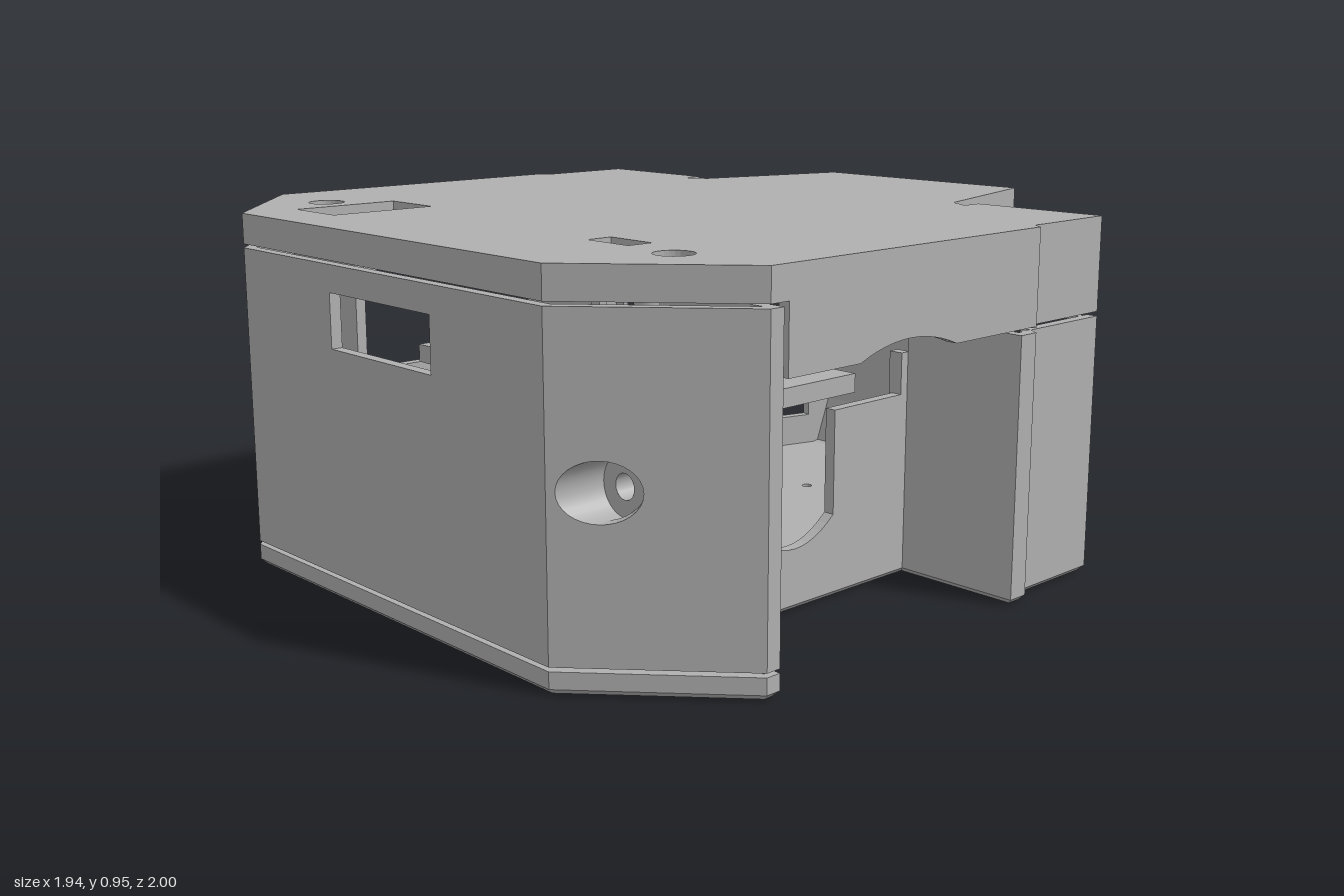
import * as THREE from 'three';
import { RoundedBoxGeometry } from 'three/addons/geometries/RoundedBoxGeometry.js';

const grey = new THREE.MeshStandardMaterial({ color: 0xb0b0b0, side: THREE.DoubleSide });
grey.name = 'grey plastic';

const toPath = (pts, Type = THREE.Shape) => new Type(pts.map(([a, b]) => new THREE.Vector2(a, b)));
const rect = (a0, b0, a1, b1) => [[a0, b0], [a1, b0], [a1, b1], [a0, b1]];
const circle = (x, y, r, n = 24, ry = r) => Array.from({ length: n }, (_, i) => {
  const t = (i / n) * Math.PI * 2;
  return [x + r * Math.cos(t), y + ry * Math.sin(t)];
});
// Right half plan (x, z) mirrored into a closed loop
const mirrorLoop = half => [...half, ...half.map(([x, z]) => [-x, z]).reverse()];

export function createModel() {
  const model = new THREE.Group();
  const groups = {};
  for (const name of ['base', 'lid', 'frontPanel', 'interior']) {
    groups[name] = new THREE.Group();
    groups[name].name = name;
    model.add(groups[name]);
  }
  const add = (group, name, geo) => {
    const m = new THREE.Mesh(geo, grey);
    m.name = name;
    groups[group].add(m);
    return m;
  };

  // Upright wall from plan point p to q; contour is in (distance along, height)
  const wall = (group, name, p, q, contour, holes = [], t = 0.03, inset = 0) => {
    const u = new THREE.Vector3(q[0] - p[0], 0, q[1] - p[1]).normalize();
    const up = new THREE.Vector3(0, 1, 0);
    const n = new THREE.Vector3().crossVectors(u, up);
    const shape = toPath(contour);
    shape.holes = holes.map(h => toPath(h, THREE.Path));
    const geo = new THREE.ExtrudeGeometry(shape, { depth: t, bevelEnabled: false });
    geo.translate(0, 0, -t - inset);
    geo.applyMatrix4(new THREE.Matrix4().makeBasis(u, up, n).setPosition(p[0], 0, p[1]));
    return add(group, name, geo);
  };
  // The same wall on both sides
  const pair = (group, name, p, q, contour, holes = [], t, inset) => {
    const L = Math.hypot(q[0] - p[0], q[1] - p[1]);
    const flip = pts => pts.map(([s, y]) => [L - s, y]);
    wall(group, name + 'Left', p, q, contour, holes, t, inset);
    wall(group, name + 'Right', [-q[0], q[1]], [-p[0], p[1]], flip(contour), holes.map(flip), t, inset);
  };
  const plain = (group, name, p, q, y0, y1) =>
    pair(group, name, p, q, rect(0, y0, Math.hypot(q[0] - p[0], q[1] - p[1]), y1));
  // Horizontal plate with its top at the given height
  const slab = (group, name, pts, holes, top, t, bevel = 0) => {
    const shape = toPath(pts);
    shape.holes = holes.map(h => toPath(h, THREE.Path));
    const geo = new THREE.ExtrudeGeometry(shape, {
      depth: t - 2 * bevel, bevelEnabled: bevel > 0, bevelSize: bevel,
      bevelOffset: -bevel, bevelThickness: bevel, bevelSegments: 1,
    });
    geo.rotateX(Math.PI / 2).translate(0, top - bevel, 0);
    add(group, name, geo);
  };

  // Plan outlines
  const A = [0.62, 1], B = [0.97, 0.68], C = [0.97, -0.26], D = [0.94, -0.28], E = [0.94, -0.57];
  const F = [0.55, -0.57], G = [0.55, -0.51], H = [0.485, -0.545], I = [0.36, -1];
  const floorPlan = mirrorLoop([A, B, [0.97, 0.64], [0.62, 0.64], [0.62, -0.2], [0.97, -0.2],
    C, D, E, F, G, H, [0.38, -0.93]]);
  const pinHoles = [-0.06, -0.28, -0.5].map(z => circle(0, z, 0.008, 12));

  // Floor with chamfered underside
  slab('base', 'floorUnderside', floorPlan, pinHoles, 0.035, 0.035, 0.014);
  slab('base', 'floorRim', floorPlan, pinHoles.map((h, i) => circle(0, [-0.06, -0.28, -0.5][i], 0.015, 12)), 0.055, 0.035);

  // Wheel well walls; the inner one has a U-shaped axle opening
  const uCut = Array.from({ length: 13 }, (_, i) => {
    const k = 1 - i / 6;
    return [0.42 + 0.14 * k, 0.16 + 0.06 * k * k];
  });
  pair('base', 'wellInnerWall', [0.62, 0.64], [0.62, -0.2],
    [[0, 0.02], [0.84, 0.02], [0.84, 0.49], [0.56, 0.49], ...uCut, [0.28, 0.49], [0, 0.49]]);
  plain('base', 'wellFrontWall', [0.95, 0.64], [0.62, 0.64], 0.02, 0.86);
  plain('base', 'wellRearWall', [0.62, -0.2], [0.97, -0.2], 0.02, 0.69);

  // Rear base walls
  const bt = 0.69, lb = 0.702, top = 0.95;
  plain('base', 'sideStrip', [0.97, -0.2], C, 0.02, bt);
  const rear = [['sideStep', C, D], ['rearSide', D, E], ['notchSide', F, G], ['notchBack', G, H]];
  for (const [name, p, q] of rear) {
    plain('base', name, p, q, 0.02, bt);
    plain('lid', name, p, q, lb, top);
  }

  // Framed rear windows, split between base and lid: outer step and inner frame
  for (const [s0, s1, y0, y1, inset] of [[0.03, 0.35, 0.09, 0.79, 0], [0.065, 0.315, 0.125, 0.755, 0.02]]) {
    pair('base', 'windowFrame', E, F, [[0, 0.02], [0.39, 0.02], [0.39, bt], [s1, bt], [s1, y0 + 0.02],
      [s1 - 0.02, y0], [s0 + 0.02, y0], [s0, y0 + 0.02], [s0, bt], [0, bt]], [], 0.02, inset);
    pair('lid', 'windowFrame', E, F, [[0, lb], [s0, lb], [s0, y1 - 0.02], [s0 + 0.02, y1],
      [s1 - 0.02, y1], [s1, y1 - 0.02], [s1, lb], [0.39, lb], [0.39, top], [0, top]], [], 0.02, inset);
  }

  // Tapered tail with side openings and a sloped lower back
  const L = Math.hypot(H[0] - I[0], H[1] - I[1]);
  pair('base', 'tailSide', H, I, [[0, 0.015], [L - 0.072, 0.015], [L - 0.046, 0.03], [L, 0.2], [L, bt],
    [0.37, bt], [0.37, 0.15], [0.13, 0.15], [0.13, bt], [0, bt]]);
  plain('lid', 'tailSide', H, I, lb, top);
  wall('base', 'tailBack', I, [-0.36, -1], rect(0, 0.2, 0.72, bt));
  wall('lid', 'tailBack', I, [-0.36, -1], rect(0, lb, 0.72, top));
  const slope = new THREE.ExtrudeGeometry(
    toPath([[1, 0.2], [0.955, 0.03], [0.93, 0.01], [0.9, 0.05], [0.93, 0.06], [0.97, 0.2]]),
    { depth: 0.73, bevelEnabled: false });
  slope.rotateY(Math.PI / 2).translate(-0.365, 0, 0);
  add('base', 'tailSlope', slope);

  // Lid roof with slots and screw recesses
  slab('lid', 'roof', mirrorLoop([A, B, C, D, E, F, G, H, I]), [
    circle(0.7, 0.7, 0.048), circle(-0.7, 0.7, 0.048),
    rect(-0.6, 0.55, -0.42, 0.85), rect(0.4, 0.62, 0.54, 0.69),
  ], top, 0.03);
  for (const x of [-0.7, 0.7]) {
    const cup = new THREE.LatheGeometry([[0.015, 0.88], [0.048, 0.88], [0.048, 0.948]]
      .map(([a, b]) => new THREE.Vector2(a, b)), 24);
    add('lid', 'screwRecess', cup.translate(x, 0, 0.7));
  }
  // Lid rim at the front, and sides with wheel arches
  wall('lid', 'frontRim', [-0.62, 1], A, rect(0, 0.87, 1.24, top));
  plain('lid', 'cornerRim', A, B, 0.87, top);
  plain('lid', 'sideRim', B, [0.97, 0.62], 0.87, top);
  const arch = Array.from({ length: 13 }, (_, i) => {
    const k = i / 6 - 1;
    return [0.4 + 0.17 * k, 0.74 - 0.035 * k * k];
  });
  pair('lid', 'archedSide', [0.97, 0.625], C,
    [[0, 0.705], ...arch, [0.885, 0.705], [0.885, top], [0, top]]);

  // Front panel with slot and angled corners
  const f0 = 0.065, f1 = 0.86;
  wall('frontPanel', 'face', [-0.62, 1], A, rect(0, f0, 1.24, f1), [rect(0.41, 0.65, 0.83, 0.79)]);
  const k = Math.hypot(0.35, 0.32) / 0.35;
  pair('frontPanel', 'corner', A, B, rect(0, f0, 0.35 * k, f1),
    [circle(0.085 * k, 0.46, 0.07 * k, 32, 0.07)]);
  plain('frontPanel', 'sideLip', B, [0.97, 0.64], f0, f1);

  // Screw bores, cut to follow the angled corners
  for (const side of [-1, 1]) {
    const bore = new THREE.CylinderGeometry(0.07, 0.07, 1, 32, 1, true).rotateX(Math.PI / 2);
    const pos = bore.attributes.position;
    for (let i = 0; i < pos.count; i++) {
      const x = 0.705 + pos.getX(i) * side;
      pos.setZ(i, pos.getZ(i) > 0 ? 1 - (x - 0.62) * 0.914 : 0.85);
    }
    add('frontPanel', 'screwBore', bore.translate(side * 0.705, 0.46, 0));
    add('frontPanel', 'boreSeat', new THREE.RingGeometry(0.03, 0.07, 32).translate(side * 0.705, 0.46, 0.85));
    add('frontPanel', 'screwHole', new THREE.CylinderGeometry(0.03, 0.03, 0.08, 20, 1, true)
      .rotateX(Math.PI / 2).translate(side * 0.705, 0.46, 0.81));
  }

  // Inner board, its button, rear posts and locating tabs
  add('interior', 'board', new THREE.BoxGeometry(1.1, 0.05, 0.59).translate(0, 0.525, 0.22));
  add('interior', 'button', new RoundedBoxGeometry(0.11, 0.08, 0.11, 2, 0.02).translate(0, 0.565, 0.22));
  for (const x of [-0.6, 0.6]) {
    add('interior', 'post', new THREE.CylinderGeometry(0.05, 0.05, 0.64, 20).translate(x, 0.37, -0.4));
    add('interior', 'tab', new THREE.BoxGeometry(0.04, 0.12, 0.03).translate(x, 0.54, -0.19));
  }
  return model;
}
